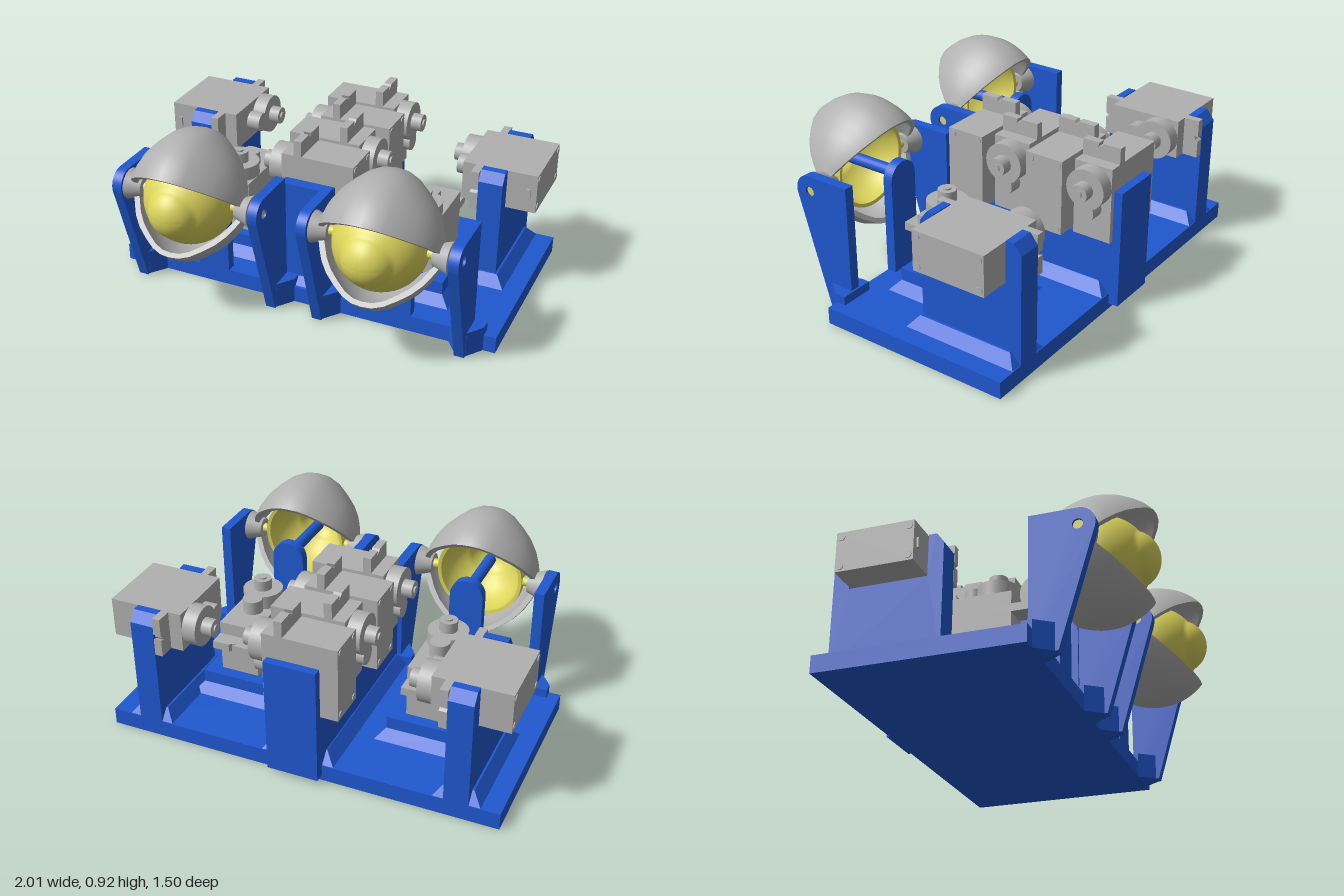
import * as THREE from 'three';
import { toCreasedNormals } from 'three/addons/utils/BufferGeometryUtils.js';

const material = (name, color, side = THREE.FrontSide) => {
  const m = new THREE.MeshStandardMaterial({ color, side });
  m.name = name;
  return m;
};
const blue = material('blue frame', 0x2058d0);
const gray = material('light gray', 0xb0b0b0, THREE.DoubleSide);
const yellow = material('eye yellow', 0xdcd45c, THREE.DoubleSide);

const EYE_X = 0.49, EYE_Y = 0.585, EYE_Z = 0.475;

function add(parent, name, geo, mat) {
  const m = new THREE.Mesh(geo, mat);
  m.name = name;
  parent.add(m);
  return m;
}

// Box given by its limits; inset draws the top in to make a sloped skirt
function block(x0, x1, y0, y1, z0, z1, inset = 0) {
  const g = new THREE.BoxGeometry(x1 - x0, y1 - y0, z1 - z0);
  const p = g.attributes.position;
  for (let i = 0; i < p.count; i++) {
    if (p.getY(i) > 0) {
      p.setX(i, p.getX(i) - Math.sign(p.getX(i)) * inset);
      p.setZ(i, p.getZ(i) - Math.sign(p.getZ(i)) * inset);
    }
  }
  g.computeVertexNormals();
  return g.translate((x0 + x1) / 2, (y0 + y1) / 2, (z0 + z1) / 2);
}

// Extrude a (z, y) outline sideways from x0 to x1
function extrudeX(shape, x0, x1) {
  return new THREE.ExtrudeGeometry(shape, { depth: x1 - x0, bevelEnabled: false, curveSegments: 20 })
    .rotateY(-Math.PI / 2).translate(x1, 0, 0);
}

const outline = pts => new THREE.Shape(pts.map(p => new THREE.Vector2(...p)));

// Servo: bottom on y = 0, output shaft along +y, long side along z
function servo(name) {
  const g = new THREE.Group();
  g.name = name;
  add(g, 'servoBody', block(-0.1, 0.1, 0, 0.375, -0.19, 0.19), gray);
  // mounting flange with a keyhole slot at each end
  const half = [];
  for (let i = 0; i <= 12; i++) {
    const a = Math.PI * (0.62 + i * 1.76 / 12);
    half.push([0.022 * Math.sin(a), 0.235 - 0.022 * Math.cos(a)]);
  }
  const end = [[0.1, 0.27], [0.012, 0.27], ...half, [-0.012, 0.27], [-0.1, 0.27]];
  const flange = outline([...end, ...end.map(([x, z]) => [-x, -z])]);
  add(g, 'servoFlange', new THREE.ExtrudeGeometry(flange, { depth: 0.04, bevelEnabled: false })
    .rotateX(Math.PI / 2).translate(0, 0.31, 0), gray);
  // gear housing and splined shaft
  const drum = (n, r, h, y, z, sides) =>
    add(g, n, new THREE.CylinderGeometry(r, r, h, sides).translate(0, y + h / 2, z), gray);
  drum('gearHousing', 0.1, 0.07, 0.375, 0.09, 32);
  drum('smallGearHousing', 0.05, 0.07, 0.375, -0.025, 24);
  drum('outputShaft', 0.045, 0.055, 0.445, 0.09, 16);
  drum('shaftScrew', 0.02, 0.008, 0.5, 0.09, 12);
  for (const x of [-0.073, 0.073]) for (const z of [-0.165, 0.165])
    drum('caseScrew', 0.018, 0.004, -0.004, z, 12).position.x = x;
  add(g, 'cableOutlet', block(-0.025, 0.025, 0.03, 0.05, -0.2, -0.19), gray);
  return g;
}

// Place a servo with its shaft along yDir and its long side along zDir
function placeServo(parent, name, pos, yDir, zDir) {
  const s = servo(name);
  const y = new THREE.Vector3(...yDir), z = new THREE.Vector3(...zDir);
  s.quaternion.setFromRotationMatrix(new THREE.Matrix4().makeBasis(y.clone().cross(z), y, z));
  s.position.set(...pos);
  parent.add(s);
}

// Eyelid: a bell profile swept around the x axis between two elevations
function eyelid(parent, name, scale, from, to) {
  const side = [[0.05, 0.295], [0.11, 0.272], [0.165, 0.245], [0.22, 0.205],
    [0.268, 0.155], [0.312, 0.1], [0.335, 0.05]];
  const full = [...side.map(([r, x]) => [r, -x]), [0.34, 0], ...side.slice().reverse()];
  const outer = full.map(([r, x]) => new THREE.Vector2(Math.max(0.05, r * scale), x));
  const inner = outer.map(p => new THREE.Vector2(Math.max(0.035, p.x - 0.024), p.y * 0.93)).reverse();
  const loop = [...outer, ...inner];
  const g = new THREE.Group();
  g.name = name;
  const a0 = -to * Math.PI / 180, a1 = -from * Math.PI / 180;
  const shell = new THREE.LatheGeometry([...loop, loop[0]], 40, a0, a1 - a0);
  add(g, 'lidShell', toCreasedNormals(shell, 0.6), gray);
  for (const a of [a0, a1])
    add(g, 'lidEdge', new THREE.ShapeGeometry(new THREE.Shape(loop)).rotateY(a - Math.PI / 2), gray);
  g.rotation.z = -Math.PI / 2;
  parent.add(g);
}

function eye(parent, s) {
  const g = new THREE.Group();
  g.name = s > 0 ? 'leftEye' : 'rightEye';
  g.position.set(s * EYE_X, EYE_Y, EYE_Z);
  parent.add(g);
  // hollow eyeball with a bulging cornea
  const prof = [];
  for (let i = 0; i <= 16; i++) {
    const a = -0.15 + i * (0.98 + 0.15) / 16;
    prof.push(new THREE.Vector2(0.225 * Math.cos(a), 0.225 * Math.sin(a)));
  }
  for (let i = 1; i <= 10; i++) {
    const a = 0.39 + i * (Math.PI / 2 - 0.39) / 10;
    prof.push(new THREE.Vector2(Math.max(0, 0.136 * Math.cos(a)), 0.134 + 0.136 * Math.sin(a)));
  }
  const inner = prof.map(p => new THREE.Vector2(p.x * 0.92, p.y * 0.92)).reverse();
  const ball = new THREE.LatheGeometry([...inner, ...prof], 48).rotateX(Math.PI / 2);
  add(g, 'eyeball', toCreasedNormals(ball, 0.5), yellow);
  eyelid(g, 'upperLid', 1, 40, 130);
  eyelid(g, 'lowerLid', 0.91, -118, -42);
  // flared lid hubs and axle pins
  for (const d of [-1, 1]) {
    add(g, 'lidHub', new THREE.CylinderGeometry(0.078, 0.05, 0.08, 32)
      .rotateZ(-d * Math.PI / 2).translate(d * 0.293, 0, 0), gray);
    add(g, 'axlePin', new THREE.CylinderGeometry(0.024, 0.024, 0.17, 20)
      .rotateZ(Math.PI / 2).translate(d * 0.295, 0, 0), yellow);
  }
  // joint reaching from the rear post into the eyeball
  add(g, 'eyeJoint', new THREE.CylinderGeometry(0.03, 0.03, 0.34, 20)
    .rotateX(Math.PI / 2).translate(0, 0, -0.02), blue);
}

// Tapered post with a rounded, pierced head that carries the lids
function lidPost(parent, x) {
  const sh = new THREE.Shape();
  sh.moveTo(0.25, 0);
  sh.lineTo(0.385, 0);
  sh.lineTo(0.553, 0.565);
  sh.absarc(EYE_Z, EYE_Y, 0.08, -0.25, Math.PI / 2, false);
  sh.lineTo(0.25, 0.665);
  const hole = new THREE.Path();
  hole.absarc(EYE_Z, EYE_Y, 0.025, 0, Math.PI * 2, true);
  sh.holes.push(hole);
  add(parent, 'lidPost', extrudeX(sh, x - 0.025, x + 0.025), blue);
  const foot = outline([[-0.085, -0.24], [-0.085, -0.29], [-0.026, -0.37], [0.026, -0.37],
    [0.085, -0.29], [0.085, -0.24]]);
  add(parent, 'postFoot', new THREE.ExtrudeGeometry(foot, { depth: 0.13, bevelEnabled: false })
    .rotateX(-Math.PI / 2).translate(x, 0, 0), blue);
}

export function createModel() {
  const root = new THREE.Group();
  root.name = 'animatronicEyes';
  add(root, 'basePlate', block(-1, 1, 0, 0.085, -0.7, 0.29), blue);

  // centre rail and end plates for the row of servos
  add(root, 'centreRail', block(-0.13, 0.13, 0.08, 0.36, -0.7, 0.2), blue);
  add(root, 'centreSkirt', block(-0.19, 0.19, 0.08, 0.14, -0.7, 0.28, 0.055), blue);
  add(root, 'frontPlate', block(-0.13, 0.13, 0.08, 0.63, 0.18, 0.24), blue);
  add(root, 'backPlate', block(-0.13, 0.13, 0.03, 0.63, -0.75, -0.7), blue);
  [0.075, -0.152, -0.38, -0.607].forEach((z, i) => {
    const d = i % 2 ? 1 : -1;
    placeServo(root, 'centreServo', [-d * 0.22, 0.56, z], [d, 0, 0], [0, 1, 0]);
  });

  for (const s of [-1, 1]) {
    const span = (a, b) => (s > 0 ? [a, b] : [-b, -a]);
    eye(root, s);
    lidPost(root, s * 0.125);
    lidPost(root, s * 0.855);

    // rounded post behind the eye
    const post = outline([[-0.085, 0.08], [0.085, 0.08]]);
    post.lineTo(0.085, 0.57);
    post.absarc(0, 0.57, 0.085, 0, Math.PI, false);
    add(root, 'eyePost', new THREE.ExtrudeGeometry(post, { depth: 0.05, bevelEnabled: false })
      .translate(s * EYE_X, 0, 0.242), blue);

    // bed with the upright servo
    add(root, 'servoBed', block(...span(0.32, 0.67), 0.08, 0.2, -0.37, 0.12), blue);
    add(root, 'bedSkirt', block(...span(0.27, 0.72), 0.08, 0.135, -0.42, 0.17, 0.05), blue);
    placeServo(root, 'uprightServo', [s * 0.497, 0.095, -0.12], [0, 1, 0], [0, 0, 1]);

    // notched wall with the outer servo
    const wall = outline([[-0.7, 0.08], [-0.16, 0.08], [-0.16, 0.63], [-0.195, 0.68], [-0.235, 0.68],
      [-0.235, 0.47], [-0.62, 0.47], [-0.62, 0.68], [-0.66, 0.68], [-0.7, 0.63]]);
    add(root, 'outerWall', extrudeX(wall, ...span(0.73, 0.85)), blue);
    add(root, 'wallSkirt', block(...span(0.67, 0.91), 0.08, 0.14, -0.7, -0.1, 0.05), blue);
    placeServo(root, 'outerServo', [s, 0.577, -0.428], [-s, 0, 0], [0, 0, -1]);
  }
  return root;
}
